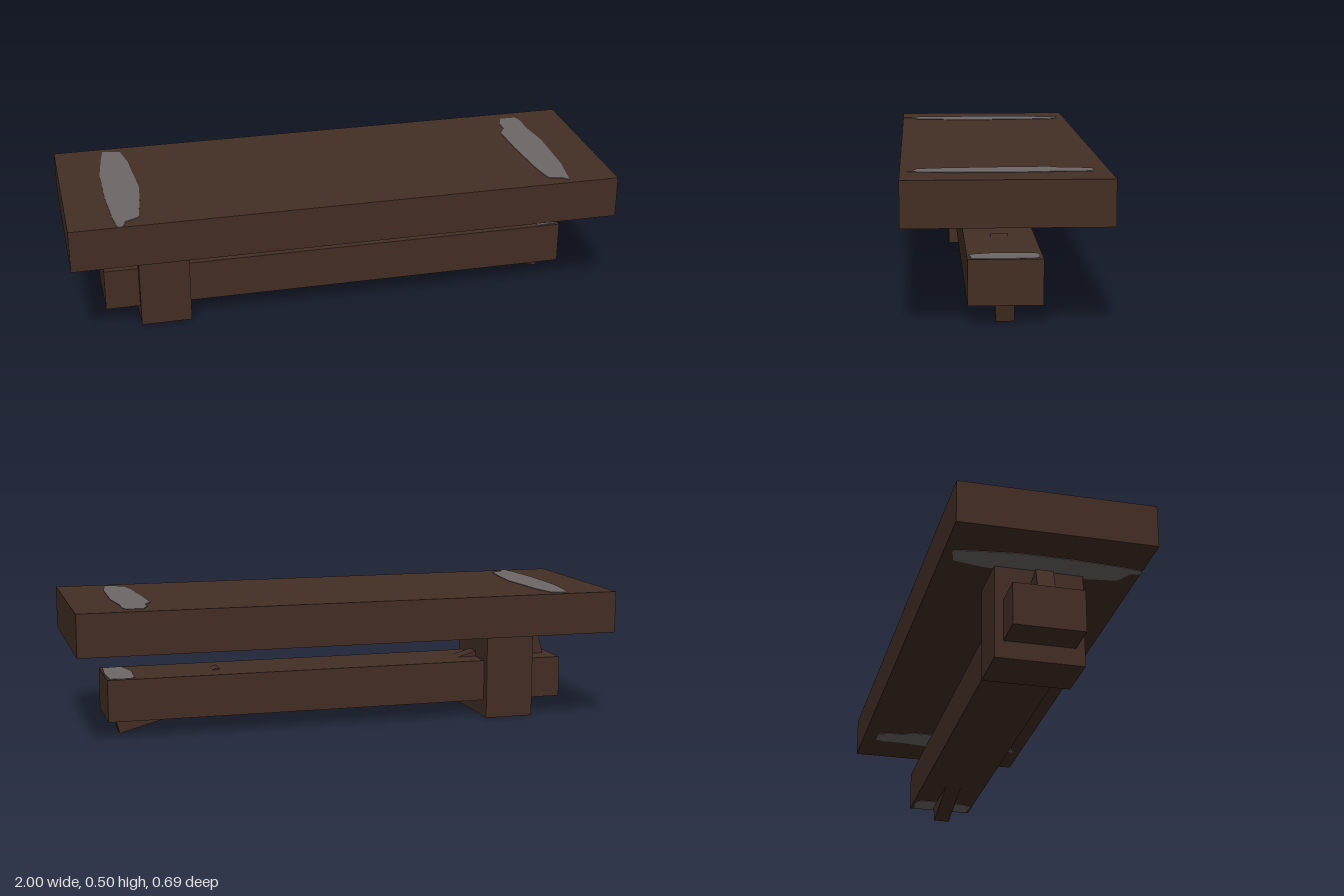
import * as THREE from 'three';

export function createModel() {
  const model = new THREE.Group();
  model.name = 'plankBench';
  const wood = new THREE.MeshStandardMaterial({ color: 0x432e24 });
  wood.name = 'dark wood';
  const worn = new THREE.MeshStandardMaterial({ color: 0x6e6767 });
  worn.name = 'worn grey';

  // Wooden box given by its extents in x and y and its depth in z
  function block(name, x0, x1, y0, y1, depth) {
    const mesh = new THREE.Mesh(new THREE.BoxGeometry(x1 - x0, y1 - y0, depth), wood);
    mesh.position.set((x0 + x1) / 2, (y0 + y1) / 2, 0);
    mesh.name = name;
    model.add(mesh);
    return mesh;
  }

  block('topPlank', -1, 1, 0.346, 0.5, 0.686);
  block('lowerBeam', -0.875, 0.872, 0.066, 0.22, 0.25);
  block('post', -0.75, -0.565, 0.002, 0.346, 0.312);

  // Slanted wedges driven through the beam, placed by their outer corner
  const tilt = THREE.MathUtils.degToRad(-15.3);
  const length = 0.42, thick = 0.12;
  for (const [name, cornerX, cornerY, side] of [
    ['leftWedge', -0.82, 0.31, 1],
    ['rightWedge', 0.82, 0.001, -1],
  ]) {
    const wedge = block(name, -length / 2, length / 2, -thick / 2, thick / 2, 0.062);
    const toCentre = new THREE.Vector3(side * length / 2, -side * thick / 2, 0);
    toCentre.applyAxisAngle(new THREE.Vector3(0, 0, 1), tilt);
    wedge.position.set(cornerX, cornerY, 0).add(toCentre);
    wedge.rotation.z = tilt;
  }

  // Thin flat patch with an outline in x and z, centred on height y
  function patch(name, outline, y) {
    const shape = new THREE.Shape(outline.map(([x, z]) => new THREE.Vector2(x, z)));
    const geometry = new THREE.ExtrudeGeometry(shape, { depth: 0.004, bevelEnabled: false });
    geometry.rotateX(Math.PI / 2);
    const mesh = new THREE.Mesh(geometry, worn);
    mesh.position.y = y + 0.002;
    mesh.name = name;
    model.add(mesh);
  }

  // Worn bands near both ends of the plank, above and below
  const leftBand = [
    [-0.82, -0.315], [-0.755, -0.3], [-0.735, -0.2], [-0.73, -0.1], [-0.72, 0.02], [-0.73, 0.14],
    [-0.75, 0.28], [-0.8, 0.305], [-0.81, 0.342], [-0.83, 0.342], [-0.84, 0.27], [-0.85, 0.1],
    [-0.85, -0.1], [-0.835, -0.22],
  ];
  const rightBand = [
    [0.76, -0.29], [0.82, -0.29], [0.83, -0.26], [0.83, -0.18], [0.845, -0.05], [0.84, 0.18],
    [0.83, 0.25], [0.82, 0.32], [0.8, 0.3], [0.75, 0.285], [0.735, 0.2], [0.72, 0],
    [0.715, -0.15], [0.74, -0.19], [0.74, -0.24],
  ];
  for (const [place, y] of [['Top', 0.5], ['Underside', 0.346]]) {
    patch('leftBand' + place, leftBand, y);
    patch('rightBand' + place, rightBand, y);
  }

  // Worn end of the beam, above and below
  const beamBand = [
    [0.77, -0.1], [0.79, -0.118], [0.86, -0.112], [0.868, 0], [0.86, 0.112], [0.79, 0.118], [0.765, 0.03],
  ];
  patch('beamBandTop', beamBand, 0.22);
  patch('beamBandUnderside', beamBand, 0.066);

  return model;
}
